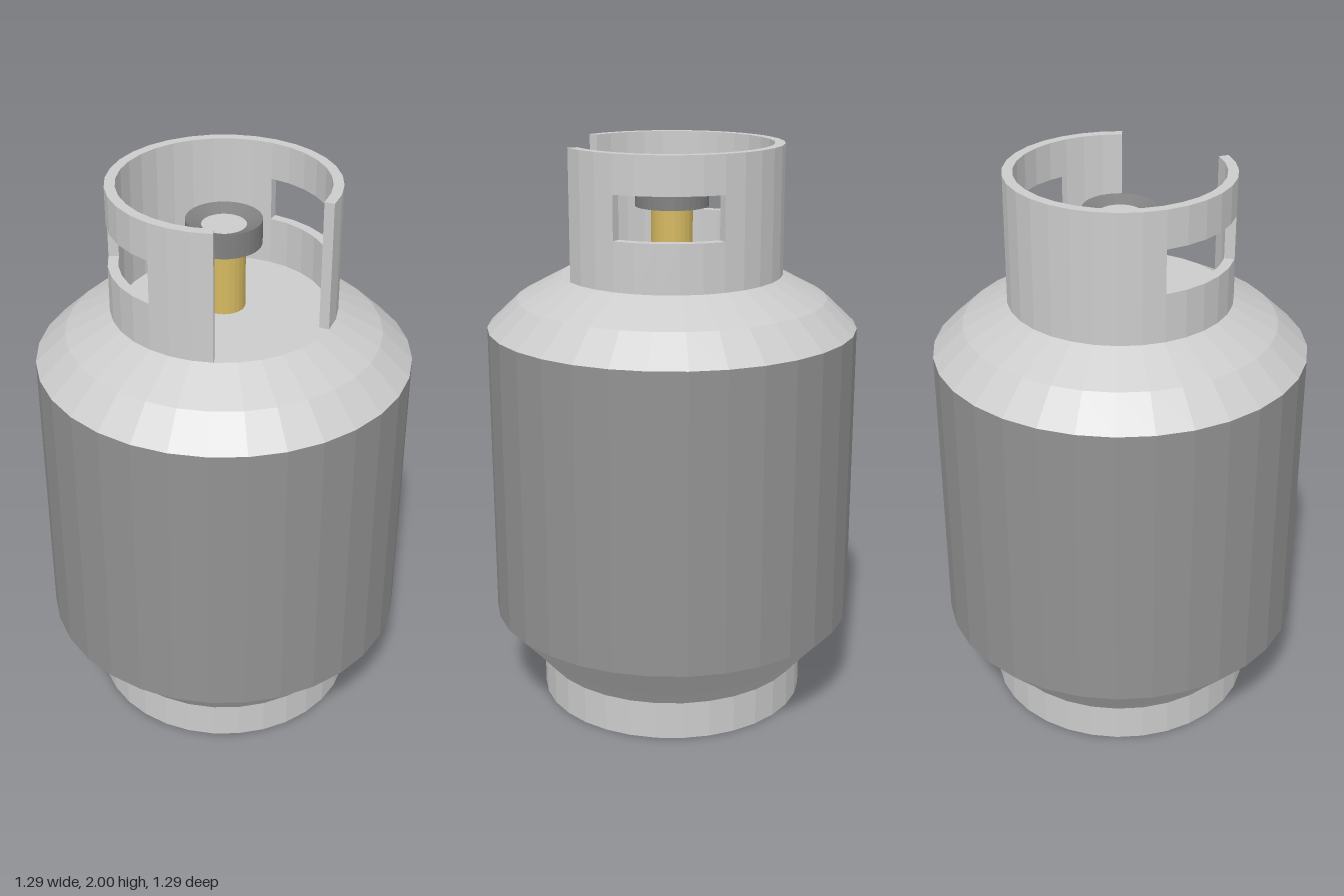
import * as THREE from 'three';

const SIDES = 32;
const material = (color) => new THREE.MeshStandardMaterial({ color, flatShading: true });
const grey = material(0xcccccc);
const darkGrey = material(0x929292);
const wheelGrey = material(0x808080);
const brass = material(0xd4b860);

// Turned part from a list of [radius, height], bottom to top
function turned(name, profile, mat, sides = SIDES) {
  const points = profile.map(([r, y]) => new THREE.Vector2(r, y));
  const mesh = new THREE.Mesh(new THREE.LatheGeometry(points, sides), mat);
  mesh.name = name;
  return mesh;
}

// Ring wall, open at the front, with a window on each side
function collarGeometry(inner, outer) {
  const rows = [1.553, 1.72, 1.87, 2];
  const sections = [[34, 67, 3], [67, 123, 5], [123, 237, 10], [237, 293, 5], [293, 326, 3]];
  const columns = [];
  sections.forEach(([from, to, n], s) => {
    for (let i = 0; i < n; i++) {
      columns.push({
        a: from + ((to - from) * i) / n,
        b: from + ((to - from) * (i + 1)) / n,
        window: s % 2 === 1,
      });
    }
  });
  const solid = (c, r) =>
    c >= 0 && c < columns.length && r >= 0 && r < 3 && !(r === 1 && columns[c].window);
  const point = (radius, deg, y) => {
    const t = THREE.MathUtils.degToRad(deg);
    return [radius * Math.sin(t), y, radius * Math.cos(t)];
  };
  const positions = [];
  const quad = (p, q, r, s) => positions.push(...p, ...q, ...r, ...p, ...r, ...s);

  columns.forEach(({ a, b }, c) => {
    for (let r = 0; r < 3; r++) {
      if (!solid(c, r)) continue;
      const [y0, y1] = [rows[r], rows[r + 1]];
      const [oa0, ob0, oa1, ob1] = [point(outer, a, y0), point(outer, b, y0), point(outer, a, y1), point(outer, b, y1)];
      const [ia0, ib0, ia1, ib1] = [point(inner, a, y0), point(inner, b, y0), point(inner, a, y1), point(inner, b, y1)];
      quad(oa0, ob0, ob1, oa1);
      quad(ib0, ia0, ia1, ib1);
      if (!solid(c, r + 1)) quad(oa1, ob1, ib1, ia1);
      if (!solid(c, r - 1)) quad(ia0, ib0, ob0, oa0);
      if (!solid(c - 1, r)) quad(ia0, oa0, oa1, ia1);
      if (!solid(c + 1, r)) quad(ob0, ib0, ib1, ob1);
    }
  });
  const geometry = new THREE.BufferGeometry();
  geometry.setAttribute('position', new THREE.Float32BufferAttribute(positions, 3));
  geometry.computeVertexNormals();
  return geometry;
}

export function createModel() {
  const model = new THREE.Group();
  model.name = 'gasCylinder';

  // Tank, from the foot up
  model.add(
    turned('footRing', [[0, 0], [0.475, 0], [0.475, 0.135]], grey),
    turned('lowerTaper', [[0.475, 0.135], [0.53, 0.2], [0.645, 0.325]], grey),
    turned('tankBody', [[0.645, 0.325], [0.645, 1.37]], darkGrey),
    turned('shoulder', [[0.645, 1.37], [0.54, 1.47], [0.385, 1.553], [0, 1.553]], grey),
  );

  // Protective collar
  const collar = new THREE.Mesh(collarGeometry(0.35, 0.385), grey);
  collar.name = 'collar';
  model.add(collar);

  // Valve stem and dished hand wheel
  model.add(
    turned('valveStem', [[0.072, 1.553], [0.072, 1.785]], brass, 24),
    turned('handWheel', [[0, 1.785], [0.127, 1.785], [0.127, 1.87], [0.075, 1.85]], wheelGrey),
    turned('wheelHub', [[0.075, 1.85], [0, 1.85]], grey),
  );

  return model;
}
